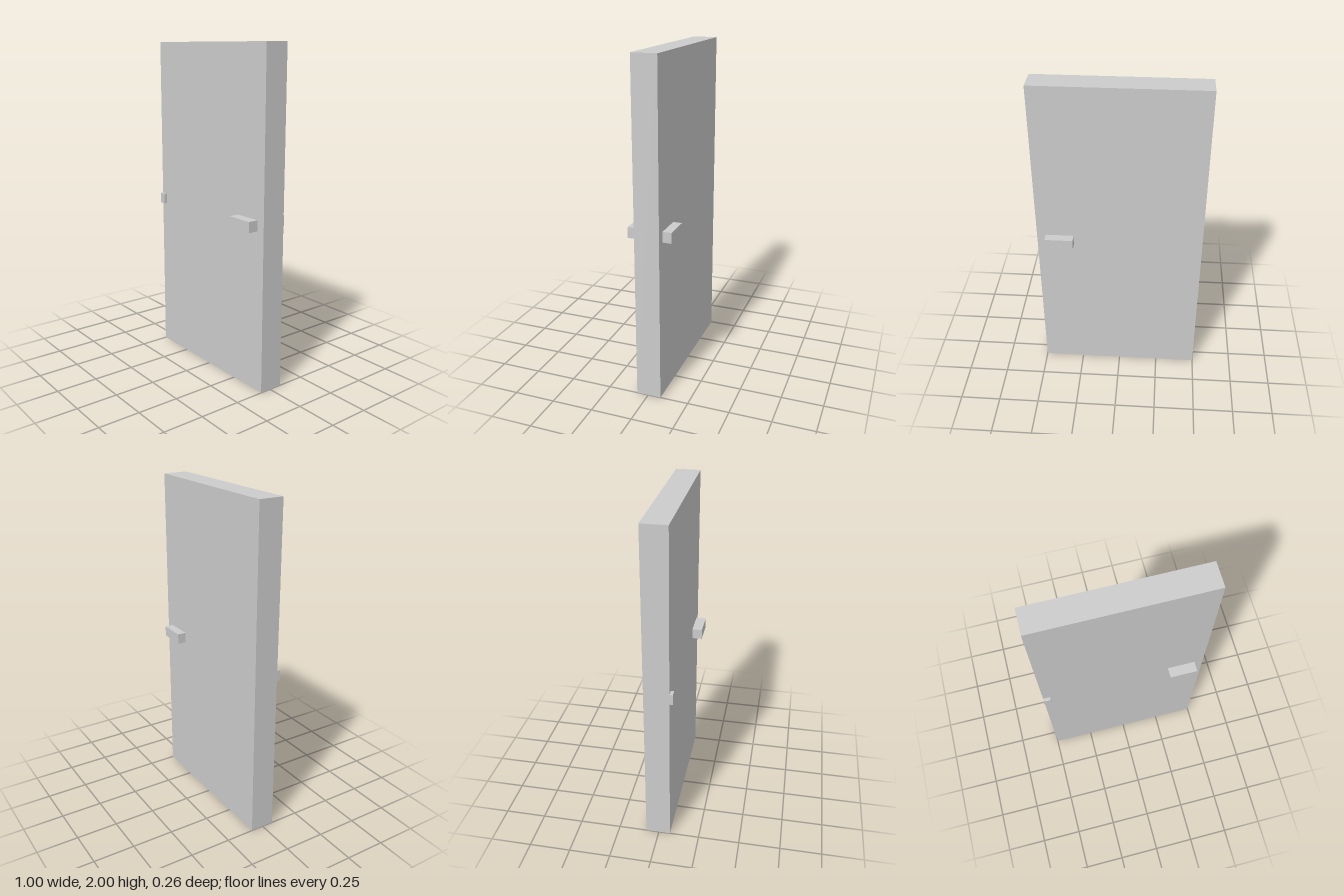
import * as THREE from 'three';

export function createModel() {
  const group = new THREE.Group();
  const grey = new THREE.MeshStandardMaterial({ color: 0xcccccc });
  grey.name = 'light grey';

  // Box given by its extents along each axis
  function addBox(name, [x0, x1], [y0, y1], [z0, z1]) {
    const mesh = new THREE.Mesh(new THREE.BoxGeometry(x1 - x0, y1 - y0, z1 - z0), grey);
    mesh.position.set((x0 + x1) / 2, (y0 + y1) / 2, (z0 + z1) / 2);
    mesh.name = name;
    group.add(mesh);
  }

  const back = -0.079, front = 0.07;
  const fittingY = [0.968, 1.032];

  // Door slab
  addBox('doorPanel', [-0.5, 0.5], [0, 2], [back, front]);

  // Handles on both faces
  addBox('frontHandle', [0.278, 0.447], fittingY, [front, 0.132]);
  addBox('backHandle', [0.278, 0.447], fittingY, [-0.132, back]);

  // Small hinge block on the front edge
  addBox('hinge', [-0.5, -0.457], fittingY, [front, 0.089]);

  return group;
}
